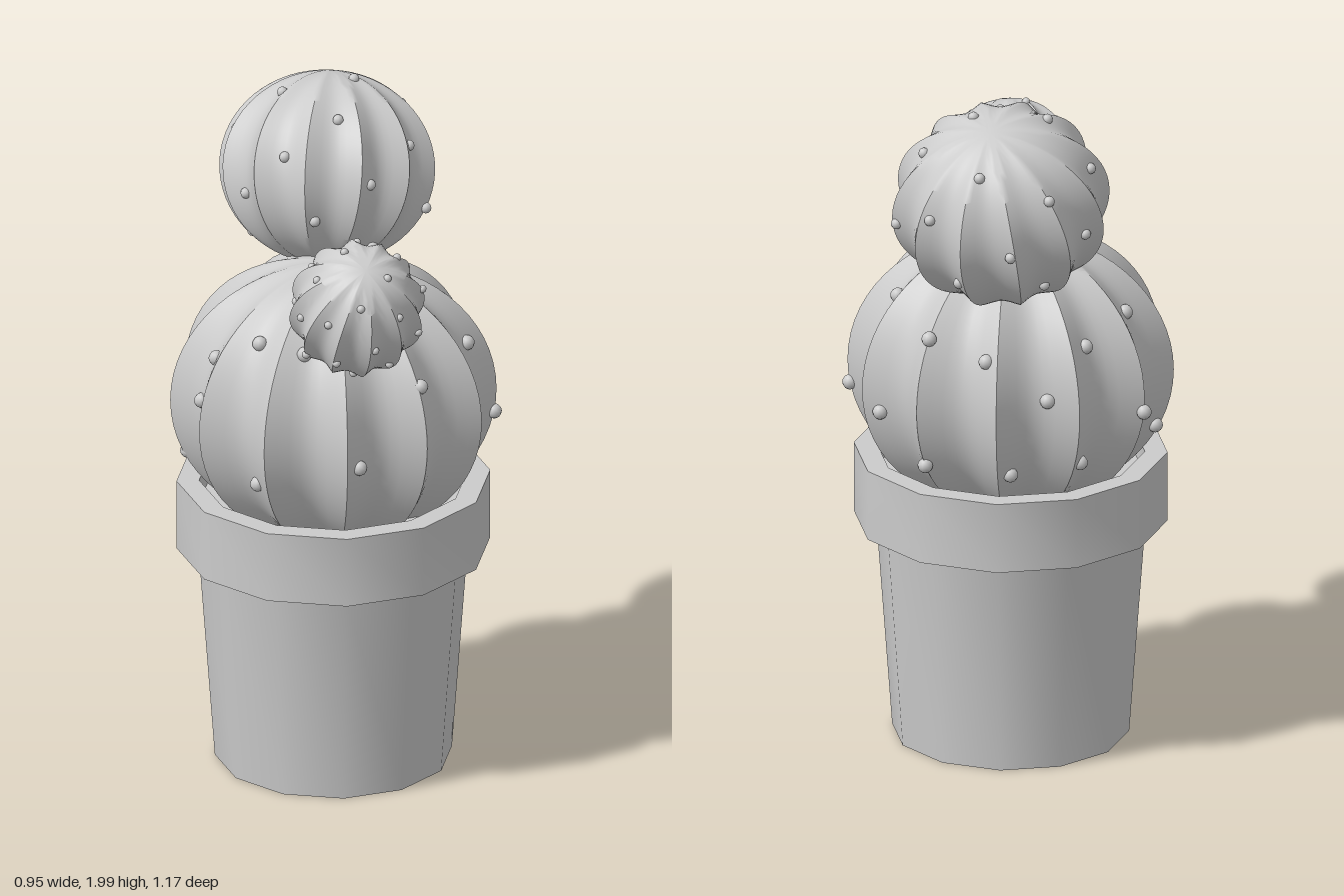
import * as THREE from 'three';
import { toCreasedNormals } from 'three/addons/utils/BufferGeometryUtils.js';

const RIBS = 12;
const material = new THREE.MeshStandardMaterial({ color: 0xcccccc });

function addMesh(parent, name, geometry) {
  const mesh = new THREE.Mesh(geometry, material);
  mesh.name = name;
  parent.add(mesh);
  return mesh;
}

// Point on a ribbed ball: sharp ridges with rounded grooves between them
function ribbedPoint(dir, radius, height, depth) {
  const angle = Math.atan2(dir.x, dir.z);
  const r = radius * (1 - depth * Math.abs(Math.sin(angle * RIBS / 2)));
  return new THREE.Vector3(dir.x * r, dir.y * height, dir.z * r);
}

function direction(degrees, level) {
  const a = THREE.MathUtils.degToRad(degrees);
  const r = Math.sqrt(1 - level * level);
  return new THREE.Vector3(Math.sin(a) * r, level, Math.cos(a) * r);
}

// Evenly scattered [angle, level] pairs
function scatter(count, start) {
  return Array.from({ length: count }, (_, i) =>
    [start + i * 137.5, 0.93 - (1.7 * i) / (count - 1)]);
}

// A ribbed ball with small round nubs on its skin
function cactusBall(name, { radius, height, depth, nubSize, nubs }) {
  const group = new THREE.Group();
  group.name = name;
  const geometry = new THREE.SphereGeometry(1, RIBS * 8, 32);
  const pos = geometry.attributes.position;
  const v = new THREE.Vector3();
  for (let i = 0; i < pos.count; i++) {
    v.fromBufferAttribute(pos, i);
    // snap the poles so every rib meets in one point
    if (Math.hypot(v.x, v.z) < 1e-6) v.set(0, Math.sign(v.y), 0);
    const p = ribbedPoint(v, radius, height, depth);
    pos.setXYZ(i, p.x, p.y, p.z);
  }
  addMesh(group, name + 'Skin', toCreasedNormals(geometry, 0.9));

  const nubGeometry = new THREE.SphereGeometry(nubSize, 10, 8);
  for (const [degrees, level] of nubs) {
    const nub = addMesh(group, name + 'Nub', nubGeometry);
    nub.position.copy(ribbedPoint(direction(degrees, level), radius, height, depth));
  }
  return group;
}

// Twelve-sided turned shape, smooth around and sharp at the corners
function turned(points) {
  const profile = points.map(([x, y]) => new THREE.Vector2(x, y));
  return toCreasedNormals(new THREE.LatheGeometry(profile, 12), 0.62);
}

export function createModel() {
  const model = new THREE.Group();
  model.name = 'pottedCactus';

  // Pot with its wide rim, and the soil inside
  const pot = new THREE.Group();
  pot.name = 'pot';
  pot.position.z = -0.01;
  addMesh(pot, 'potBody', turned([[0, 0], [0.34, 0], [0.388, 0.66]]));
  addMesh(pot, 'potRim', turned([
    [0.36, 0.65], [0.45, 0.65], [0.45, 0.86], [0.385, 0.86], [0.385, 0.78],
  ]));
  addMesh(pot, 'soil', turned([[0.388, 0.79], [0, 0.79]]));
  model.add(pot);

  // Large main ball
  const main = cactusBall('mainBall', {
    radius: 0.468, height: 0.415, depth: 0.14, nubSize: 0.022,
    nubs: [
      [-47, 0.63], [-20, 0.63], [32, 0.41], [5, -0.1], [-38, -0.32], [-70, 0.44],
      [-75, 0.1], [82, 0.41], [108, 0.58], [90, -0.17], [125, -0.15], [175, 0.39],
      [90, 0.96], [-92, -0.4], [150, 0.5], [200, 0.1], [220, 0.42], [240, -0.1],
      [255, 0.5], [150, -0.42], [185, -0.45], [215, -0.4],
    ],
  });
  main.position.set(0, 1.115, -0.01);
  model.add(main);

  // Upper ball, leaning back
  const upper = cactusBall('upperBall', {
    radius: 0.315, height: 0.278, depth: 0.12, nubSize: 0.016, nubs: scatter(22, 20),
  });
  upper.position.set(0.005, 1.71, -0.27);
  upper.rotation.set(-0.35, 0.24, -0.08);
  model.add(upper);

  // Small front ball, leaning forward
  const small = cactusBall('smallBall', {
    radius: 0.196, height: 0.2, depth: 0.12, nubSize: 0.012, nubs: scatter(26, 70),
  });
  small.position.set(0.033, 1.56, 0.39);
  small.rotation.set(0.6, 0.1, -0.08);
  model.add(small);

  return model;
}
